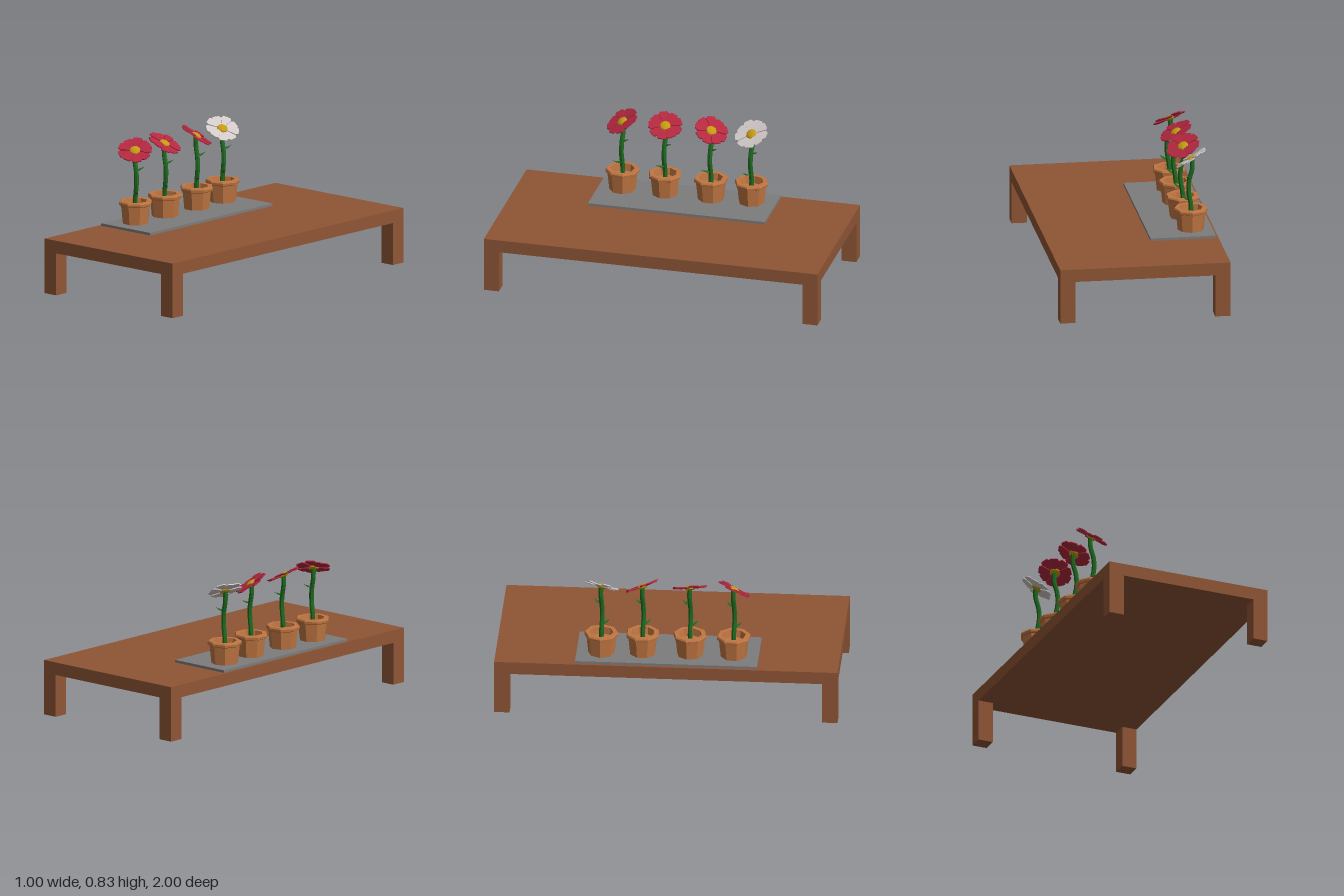
import * as THREE from 'three';

const mat = (color, extra = {}) => new THREE.MeshStandardMaterial({ color, flatShading: true, ...extra });
const wood = mat(0x8f5535);
const slate = mat(0x7c7c7c);
const clay = mat(0xc07642);
const green = mat(0x1f6a20);
const gold = mat(0xc39a14);
const red = mat(0xb4283f);
const white = mat(0xd2cac8);

function add(parent, name, geometry, material, x = 0, y = 0, z = 0) {
  const mesh = new THREE.Mesh(geometry, material);
  mesh.name = name;
  mesh.position.set(x, y, z);
  parent.add(mesh);
  return mesh;
}

// Eight-sided pot with a thick flared rim and a sunken floor
function potGeometry() {
  const profile = [[0, 0.324], [0.075, 0.324], [0.088, 0.445], [0.098, 0.45],
    [0.1, 0.464], [0.095, 0.473], [0.07, 0.473], [0.064, 0.43], [0, 0.43]];
  return new THREE.LatheGeometry(profile.map(p => new THREE.Vector2(...p)), 8);
}

// Leaf that swells, narrows to a point and curls upward, growing along +x
function leafGeometry(length) {
  const geo = new THREE.CylinderGeometry(1, 1, 1, 6, 5);
  const pos = geo.attributes.position;
  for (let i = 0; i < pos.count; i++) {
    const t = pos.getY(i) + 0.5;
    const w = 0.004 + 0.009 * Math.sin(Math.PI * Math.min(1, t * 1.05)) - 0.0035 * t;
    pos.setXYZ(i, t * length, pos.getX(i) * -w * 0.4 + 0.022 * t * t - 0.004 * t, pos.getZ(i) * w);
  }
  geo.computeVertexNormals();
  return geo;
}

// Wedge-shaped petal lying flat, pointing along +x
function petalGeometry() {
  const outline = [[0.018, -0.007], [0.082, -0.03], [0.098, -0.021],
    [0.098, 0.021], [0.082, 0.03], [0.018, 0.007]];
  const shape = new THREE.Shape(outline.map(p => new THREE.Vector2(...p)));
  const geo = new THREE.ExtrudeGeometry(shape, { depth: 0.006, bevelEnabled: false });
  return geo.rotateX(-Math.PI / 2);
}

const pot = potGeometry();
const petal = petalGeometry();

// Gently S-shaped stem
const stemCurve = new THREE.CatmullRomCurve3([
  [0, 0.425, 0], [0, 0.49, 0], [0.012, 0.57, 0.004], [0.009, 0.64, 0.002],
  [-0.008, 0.71, -0.003], [-0.008, 0.765, -0.002],
].map(p => new THREE.Vector3(...p)));
const stem = new THREE.TubeGeometry(stemCurve, 14, 0.014, 7);

function createFlowerHead(petalMaterial) {
  const head = new THREE.Group();
  head.name = 'flowerHead';
  const count = 9;
  for (let i = 0; i < count; i++) {
    const p = add(head, 'petal', petal, petalMaterial, 0, i % 2 ? 0.002 : -0.001, 0);
    p.rotation.set(0, (i / count) * Math.PI * 2, i % 2 ? 0.06 : 0.02);
  }
  const centre = add(head, 'flowerCentre', new THREE.SphereGeometry(0.034, 10, 6), gold, 0, 0.004, 0);
  centre.scale.y = 0.45;
  return head;
}

function createPlant({ x, z, normal, petals }) {
  const plant = new THREE.Group();
  plant.name = 'pottedFlower';
  plant.position.set(x, 0, z);
  const azimuth = Math.atan2(-normal[2], normal[0]);
  add(plant, 'pot', pot, clay).rotation.y = azimuth + Math.PI / 8;
  add(plant, 'stem', stem, green);
  // Lower and upper leaves on opposite sides
  add(plant, 'lowerLeaf', leafGeometry(0.06), green, 0.008, 0.518, 0).rotation.y = -0.85;
  add(plant, 'upperLeaf', leafGeometry(0.05), green, 0.006, 0.655, 0).rotation.y = 1.05;
  // Head tipped toward its facing direction
  const head = createFlowerHead(petals);
  head.position.set(-0.004, 0.767, 0);
  head.quaternion.setFromUnitVectors(new THREE.Vector3(0, 1, 0), new THREE.Vector3(...normal).normalize());
  plant.add(head);
  return plant;
}

export function createModel() {
  const model = new THREE.Group();
  model.name = 'tableWithFlowers';

  // Table
  add(model, 'tableTop', new THREE.BoxGeometry(1, 0.075, 2), wood, 0, 0.2875, 0);
  for (const sx of [-1, 1]) for (const sz of [-1, 1]) {
    add(model, 'tableLeg', new THREE.BoxGeometry(0.09, 0.25, 0.09), wood, sx * 0.455, 0.125, sz * 0.955);
  }

  // Tray under the pots
  add(model, 'tray', new THREE.BoxGeometry(0.385, 0.015, 1.06), slate, -0.2925, 0.3325, 0);

  // Row of flowers, each facing its own way
  const plants = [
    { x: -0.345, z: 0.385, normal: [0.32, 0.85, 0.42], petals: red },
    { x: -0.345, z: 0.13, normal: [0.46, 0.87, -0.1], petals: red },
    { x: -0.345, z: -0.145, normal: [0.38, 0.85, -0.38], petals: red },
    { x: -0.358, z: -0.385, normal: [0.5, 0.82, 0.22], petals: white },
  ];
  for (const p of plants) model.add(createPlant(p));
  return model;
}
